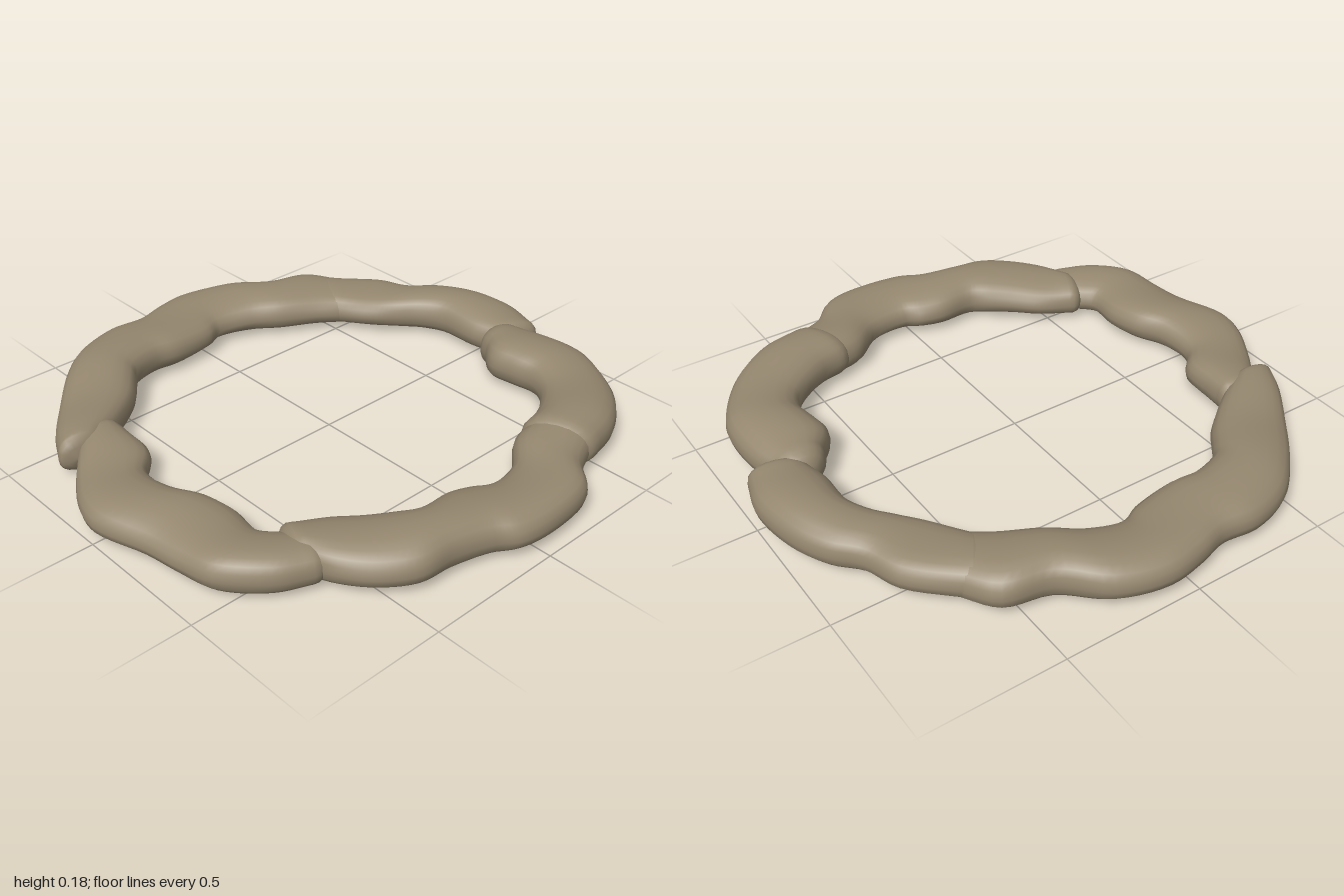
import * as THREE from 'three';

const SIDES = 20;      // points around each cross-section
const STEPS = 5;       // rings between two stations
const material = new THREE.MeshStandardMaterial({ color: 0x95876f });

// Signed power, squares an ellipse off slightly.
const spow = (v, p) => Math.sign(v) * Math.pow(Math.abs(v), p);

// Gentle bumps so the top is uneven.
const bump = (x, z) =>
  0.5 * Math.sin(9 * x + 4 * z + 1) + 0.5 * Math.sin(13 * z - 6 * x + 2);

// A lumpy rock lofted along stations of [outerX, outerZ, innerX, innerZ].
function rock(name, stations, bottom, top, capLength) {
  const curve = (k) => new THREE.CatmullRomCurve3(
    stations.map((s) => new THREE.Vector3(s[k], 0, s[k + 1])), false, 'centripetal');
  const outer = curve(0), inner = curve(2);
  const count = (stations.length - 1) * STEPS;

  // Rings: outer point, inner point and a scale that closes the ends.
  const rings = [];
  for (let i = 0; i <= count; i++) {
    rings.push({ o: outer.getPoint(i / count), n: inner.getPoint(i / count), s: 1 });
  }
  const cap = (ring, next) => {
    const mid = (r) => r.o.clone().add(r.n).multiplyScalar(0.5);
    const dir = mid(ring).sub(mid(next)).normalize();
    return [0.3, 0.6, 0.85, 1].map((t) => {
      const push = dir.clone().multiplyScalar(capLength * t);
      return { o: ring.o.clone().add(push), n: ring.n.clone().add(push),
        s: Math.max(0.001, Math.sqrt(1 - t * t)) };
    });
  };
  const start = cap(rings[0], rings[1]).reverse();
  const end = cap(rings[count], rings[count - 1]);
  const all = [...start, ...rings, ...end];

  const positions = [], indices = [];
  const middle = bottom + (top - bottom) * 0.46;
  all.forEach(({ o, n, s }, i) => {
    const c = o.clone().add(n).multiplyScalar(0.5);
    const half = o.clone().sub(n).multiplyScalar(0.5);
    for (let j = 0; j < SIDES; j++) {
      const a = (j / SIDES) * Math.PI * 2;
      const u = spow(Math.cos(a), 0.9) * s, v = spow(Math.sin(a), 0.8) * s;
      const x = c.x + half.x * u, z = c.z + half.z * u;
      const lump = 0.014 * bump(x, z);
      const y = v > 0
        ? middle + v * (top - middle + lump)
        : middle + v * (middle - bottom + lump * 0.4);
      positions.push(x, y + lump * 0.5 * (1 - Math.abs(v)), z);
      if (i < all.length - 1) {
        const p = i * SIDES + j, q = i * SIDES + (j + 1) % SIDES;
        indices.push(p, q, p + SIDES, q, q + SIDES, p + SIDES);
      }
    }
  });
  const geometry = new THREE.BufferGeometry();
  geometry.setAttribute('position', new THREE.Float32BufferAttribute(positions, 3));
  geometry.setIndex(indices);
  geometry.computeVertexNormals();
  const mesh = new THREE.Mesh(geometry, material);
  mesh.name = name;
  return mesh;
}

export function createModel() {
  const group = new THREE.Group();
  group.name = 'stoneRing';

  // Left rock, its front end lies over the next one
  group.add(rock('leftRock', [
    [0.62, -0.69, 0.49, -0.49], [0.78, -0.53, 0.57, -0.37], [0.83, -0.40, 0.64, -0.30],
    [0.91, -0.31, 0.70, -0.235], [0.97, -0.18, 0.74, -0.155], [0.995, 0, 0.74, 0],
    [0.96, 0.14, 0.76, 0.08],
  ], 0.015, 0.16, 0.05));

  // Tall rock at the front left
  group.add(rock('frontLeftRock', [
    [0.87, 0.14, 0.68, 0.13], [0.90, 0.22, 0.625, 0.20], [0.91, 0.36, 0.63, 0.29],
    [0.89, 0.47, 0.64, 0.38], [0.78, 0.65, 0.60, 0.46], [0.62, 0.77, 0.46, 0.55],
    [0.47, 0.81, 0.37, 0.57],
  ], 0.012, 0.168, 0.08));

  // Front rocks
  group.add(rock('frontRock', [
    [0.50, 0.78, 0.42, 0.58], [0.35, 0.845, 0.29, 0.60], [0.25, 0.94, 0.17, 0.69],
    [0.086, 0.97, 0.03, 0.705], [-0.075, 0.957, -0.03, 0.67], [-0.155, 0.91, -0.11, 0.65],
    [-0.29, 0.87, -0.235, 0.655], [-0.42, 0.86, -0.30, 0.61], [-0.53, 0.79, -0.37, 0.556],
    [-0.604, 0.695, -0.45, 0.487], [-0.64, 0.60, -0.56, 0.43],
  ], 0.012, 0.158, 0.06));

  // Right rock
  group.add(rock('rightRock', [
    [-0.65, 0.645, -0.57, 0.47], [-0.77, 0.59, -0.61, 0.43], [-0.89, 0.46, -0.645, 0.39],
    [-0.92, 0.33, -0.637, 0.27], [-0.94, 0.20, -0.66, 0.16], [-0.995, 0, -0.71, 0.06],
    [-0.97, -0.11, -0.715, -0.09], [-0.90, -0.235, -0.64, -0.18], [-0.84, -0.315, -0.63, -0.30],
    [-0.78, -0.39, -0.63, -0.36],
  ], 0.012, 0.145, 0.06));

  // Back rocks
  group.add(rock('backRock', [
    [-0.87, -0.385, -0.70, -0.35], [-0.82, -0.48, -0.61, -0.40], [-0.717, -0.62, -0.476, -0.50],
    [-0.58, -0.78, -0.41, -0.58], [-0.45, -0.89, -0.37, -0.626], [-0.29, -0.94, -0.26, -0.66],
    [-0.155, -0.93, -0.16, -0.65], [-0.05, -0.96, 0, -0.67], [0.096, -0.98, 0.07, -0.70],
    [0.27, -0.93, 0.20, -0.665], [0.41, -0.81, 0.30, -0.60], [0.57, -0.77, 0.42, -0.53],
    [0.66, -0.64, 0.51, -0.47],
  ], 0.012, 0.158, 0.05));

  return group;
}
